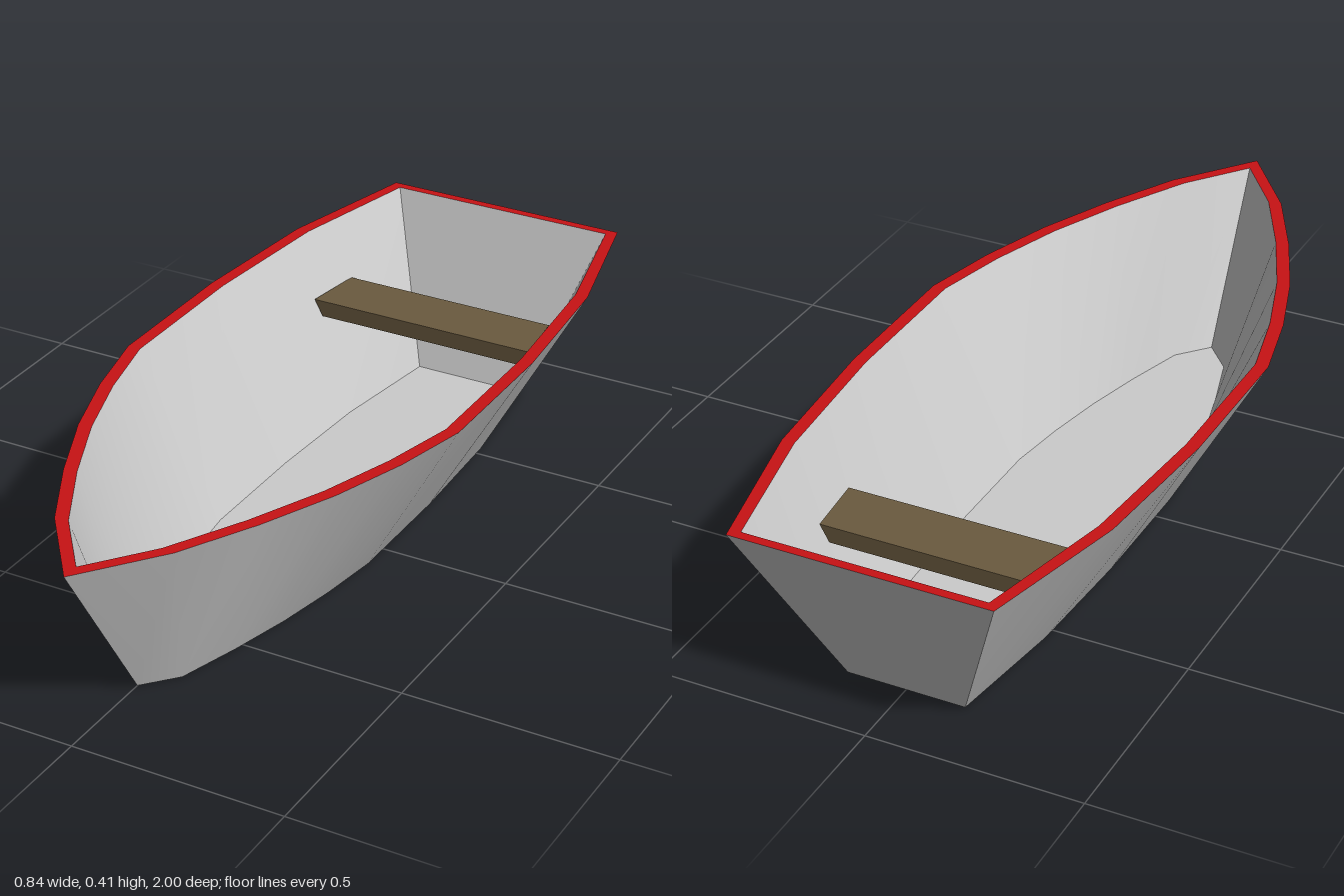
import * as THREE from 'three';
import { toCreasedNormals } from 'three/addons/utils/BufferGeometryUtils.js';

// Closed ring from half outline [x, z] running bow to stern along +x, mirrored back to the bow
function ring(half, y) {
  const left = half.map(([x, z]) => [x, y, z]);
  const right = half.slice(1).reverse().map(([x, z]) => [-x, y, z]);
  return [...left, ...right];
}

// Wall of quads between two rings of equal length
function strip(a, b) {
  const out = [];
  a.forEach((p, i) => {
    const j = (i + 1) % a.length;
    out.push(...p, ...a[j], ...b[j], ...p, ...b[j], ...b[i]);
  });
  return out;
}

// Flat cap over a convex ring, facing up or down
function cap(r, up) {
  const out = [];
  const centre = [0, r[0][1], 0];
  r.forEach((p, i) => {
    const q = r[(i + 1) % r.length];
    out.push(...centre, ...(up ? p : q), ...(up ? q : p));
  });
  return out;
}

function part(name, positions, color) {
  const g = new THREE.BufferGeometry();
  g.setAttribute('position', new THREE.Float32BufferAttribute(positions, 3));
  const mesh = new THREE.Mesh(toCreasedNormals(g, 0.55), new THREE.MeshStandardMaterial({ color }));
  mesh.name = name;
  return mesh;
}

export function createModel() {
  const boat = new THREE.Group();
  boat.name = 'rowingBoat';
  const H = 0.405;

  // Half outlines, bow to stern
  const rimHalf = [[0, 1], [0.143, 0.815], [0.238, 0.635], [0.317, 0.455], [0.376, 0.275],
    [0.418, 0.09], [0.418, -0.28], [0.388, -0.64], [0.304, -1]];
  const innerHalf = rimHalf.map(([x, z], i) => {
    if (i === 0) return [0, 0.955];
    if (i === rimHalf.length - 1) return [x - 0.022, -0.978];
    return [x - 0.031, z - (i < 5 ? 0.005 : 0)];
  });
  const keelHalf = rimHalf.map(([x, z], i) =>
    i === 0 ? [0, 0.745] : [x * 0.46, -0.825 + (z + 1) * 0.824]);

  const keel = ring(keelHalf, 0);
  const rim = ring(rimHalf, H);
  const innerRim = ring(innerHalf, H);
  const floor = ring(keelHalf, 0.004);

  // Hull shell
  boat.add(part('outerHull', strip(keel, rim), 0xcccccc));
  boat.add(part('bottom', cap(keel, false), 0xcccccc));
  boat.add(part('innerHull', strip(innerRim, floor), 0xcccccc));
  boat.add(part('floor', cap(floor, true), 0xcccccc));

  // Painted gunwale
  boat.add(part('gunwale', strip(rim, innerRim), 0xc81215));

  // Bench plank with ends cut to the slope of the hull sides
  const plank = (y, cut) => [
    [0.277 - cut, y, -0.56], [0.262 - cut, y, -0.71],
    [-0.275 + cut, y, -0.71], [-0.295 + cut, y, -0.56]];
  const low = plank(0.23, 0.022);
  const high = plank(0.27, 0);
  const quad = ([a, b, c, d]) => [...a, ...b, ...c, ...a, ...c, ...d];
  boat.add(part('bench',
    [...strip(low, high), ...quad(high), ...quad([...low].reverse())], 0x6a5a3f));

  return boat;
}
